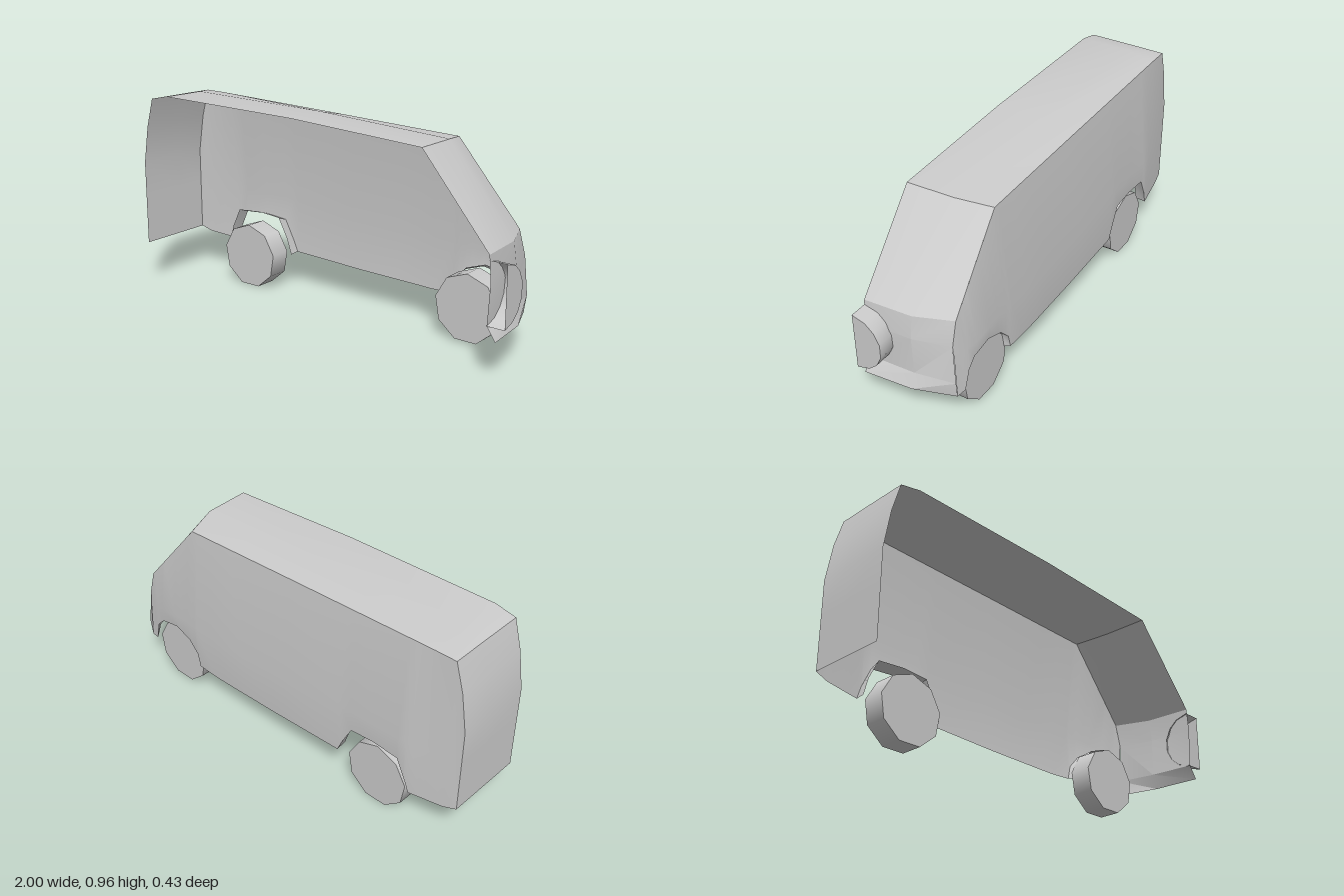
import * as THREE from 'three';
import { toCreasedNormals } from 'three/addons/utils/BufferGeometryUtils.js';

const material = new THREE.MeshStandardMaterial({ color: 0xcccccc, side: THREE.DoubleSide });

// Linear lookup in a list of [x, value] pairs
function lookup(list, x) {
  for (let i = 1; i < list.length; i++) {
    const [x0, v0] = list[i - 1], [x1, v1] = list[i];
    if (x <= x1) return v0 + (v1 - v0) * Math.max(0, (x - x0) / (x1 - x0));
  }
  return list[list.length - 1][1];
}

// Sheet through rails that all have the same number of points
function sheet(name, rails, crease = 0.35) {
  const n = rails[0].length, index = [];
  for (let r = 0; r < rails.length - 1; r++) {
    for (let i = 0; i < n - 1; i++) {
      const a = r * n + i, b = a + n;
      index.push(a, a + 1, b + 1, a, b + 1, b);
    }
  }
  const geometry = new THREE.BufferGeometry();
  geometry.setAttribute('position', new THREE.Float32BufferAttribute(rails.flat(2), 3));
  geometry.setIndex(index);
  const mesh = new THREE.Mesh(toCreasedNormals(geometry, crease), material);
  mesh.name = name;
  return mesh;
}

// Wheel arch openings along the lower edge of the side
const rearArch = [[-0.775, 0.18], [-0.755, 0.24], [-0.71, 0.335], [-0.58, 0.345], [-0.46, 0.335], [-0.41, 0.24], [-0.385, 0.183]];
const frontArch = [[0.5, 0.165], [0.515, 0.23], [0.57, 0.29], [0.66, 0.322], [0.76, 0.305], [0.8, 0.265], [0.825, 0.17]];

// Outlines of the side panel
const bottom = [[-1, 0.215], [-0.94, 0.195], ...rearArch, [0, 0.168], [0.4, 0.16], ...frontArch, [0.87, 0.165]];
const belt = [[-1, 0.455], [-0.85, 0.455], [-0.4, 0.44], [0, 0.41], [0.2, 0.395], [0.6, 0.395], [0.87, 0.36]];
const top = [[-1, 0.62], [-0.97, 0.8], [-0.93, 0.935], [-0.83, 0.934], [-0.07, 0.908], [0.54, 0.885], [0.84, 0.53], [0.87, 0.42]];
const beltZ = [[-1, -0.165], [-0.75, -0.205], [-0.4, -0.21], [0.3, -0.217], [0.75, -0.207], [0.87, -0.18]];
const bottomZ = [[-1, -0.165], [-0.75, -0.2], [0.3, -0.205], [0.8, -0.2], [0.87, -0.187]];
const topZ = [[-1, -0.165], [0.54, -0.165], [0.87, -0.175]];

function sidePanel() {
  const lists = [bottom, belt, top, beltZ];
  const xs = [...new Set(lists.flat().map(p => p[0]))].sort((a, b) => a - b);
  const rail = (ys, zs) => xs.map(x => [x, lookup(ys, x), lookup(zs, x)]);
  return sheet('sidePanel', [rail(bottom, bottomZ), rail(belt, beltZ), rail(top, topZ)]);
}

// Tailgate, roof, windscreen and nose: three rails from side to centre line
function endAndRoofPanel() {
  const side = [
    [-1, 0.215, -0.165], [-1, 0.455, -0.165], [-1, 0.62, -0.165], [-0.97, 0.8, -0.165], [-0.93, 0.935, -0.165],
    [-0.83, 0.934, -0.165], [-0.07, 0.908, -0.165], [0.54, 0.885, -0.165], [0.84, 0.53, -0.174],
    [0.87, 0.42, -0.175], [0.88, 0.243, -0.19], [0.87, 0.165, -0.187]];
  const mid = [
    [-1, 0.215], [-1, 0.455], [-1, 0.62], [-0.97, 0.8], [-0.93, 0.938], [-0.83, 0.957], [-0.07, 0.942],
    [0.59, 0.905], [0.905, 0.53], [0.92, 0.425], [0.915, 0.243], [0.94, 0.175]];
  const centre = [
    [-1, 0.215], [-1, 0.455], [-1, 0.62], [-0.97, 0.8], [-0.93, 0.94], [-0.83, 0.96], [-0.07, 0.945],
    [0.6, 0.908], [0.92, 0.53], [0.93, 0.42], [0.92, 0.237], [0.96, 0.177]];
  return sheet('roofAndEndPanels', [side, mid.map(p => [...p, -0.01]), centre.map(p => [...p, 0.212])]);
}

// Short inward lip around an arch
function archLining(name, arch, dx, dy, scale) {
  const cx = (arch[0][0] + arch[6][0]) / 2;
  const outer = arch.map(([x, y]) => [x, y, lookup(bottomZ, x)]);
  const inner = arch.map(([x, y], i) => [cx + (x - cx) * scale + dx, y + (i % 6 ? dy : 0), -0.145]);
  return sheet(name, [outer, inner], 0.6);
}

function wheel(name, x, y) {
  const geometry = new THREE.CylinderGeometry(0.158, 0.158, 0.105, 9).rotateX(-Math.PI / 2);
  const mesh = new THREE.Mesh(geometry, material);
  mesh.position.set(x, y, -0.127);
  mesh.name = name;
  return mesh;
}

// Half of the spare wheel on the nose, open at the centre plane
function spareWheel() {
  const points = [[0.212, 0.507], [0.15, 0.49], [0.11, 0.455], [0.085, 0.405], [0.085, 0.34], [0.11, 0.29], [0.15, 0.255], [0.212, 0.237]];
  const group = new THREE.Group();
  group.name = 'spareWheel';
  group.add(sheet('spareWheelRim', [0.915, 1].map(x => points.map(([z, y]) => [x, y, z])), 1));
  const shape = new THREE.Shape(points.map(([z, y]) => new THREE.Vector2(-z, y)));
  const face = new THREE.Mesh(new THREE.ShapeGeometry(shape).rotateY(Math.PI / 2), material);
  face.position.x = 1;
  face.name = 'spareWheelFace';
  group.add(face);
  return group;
}

export function createModel() {
  const model = new THREE.Group();
  model.name = 'halfVan';
  model.add(
    sidePanel(),
    endAndRoofPanel(),
    archLining('rearArchLining', rearArch, 0, 0.02, 1.03),
    archLining('frontArchLining', frontArch, 0.04, 0.03, 1.02),
    wheel('rearWheel', -0.59, 0.153),
    wheel('frontWheel', 0.655, 0.162),
    spareWheel()
  );
  return model;
}
